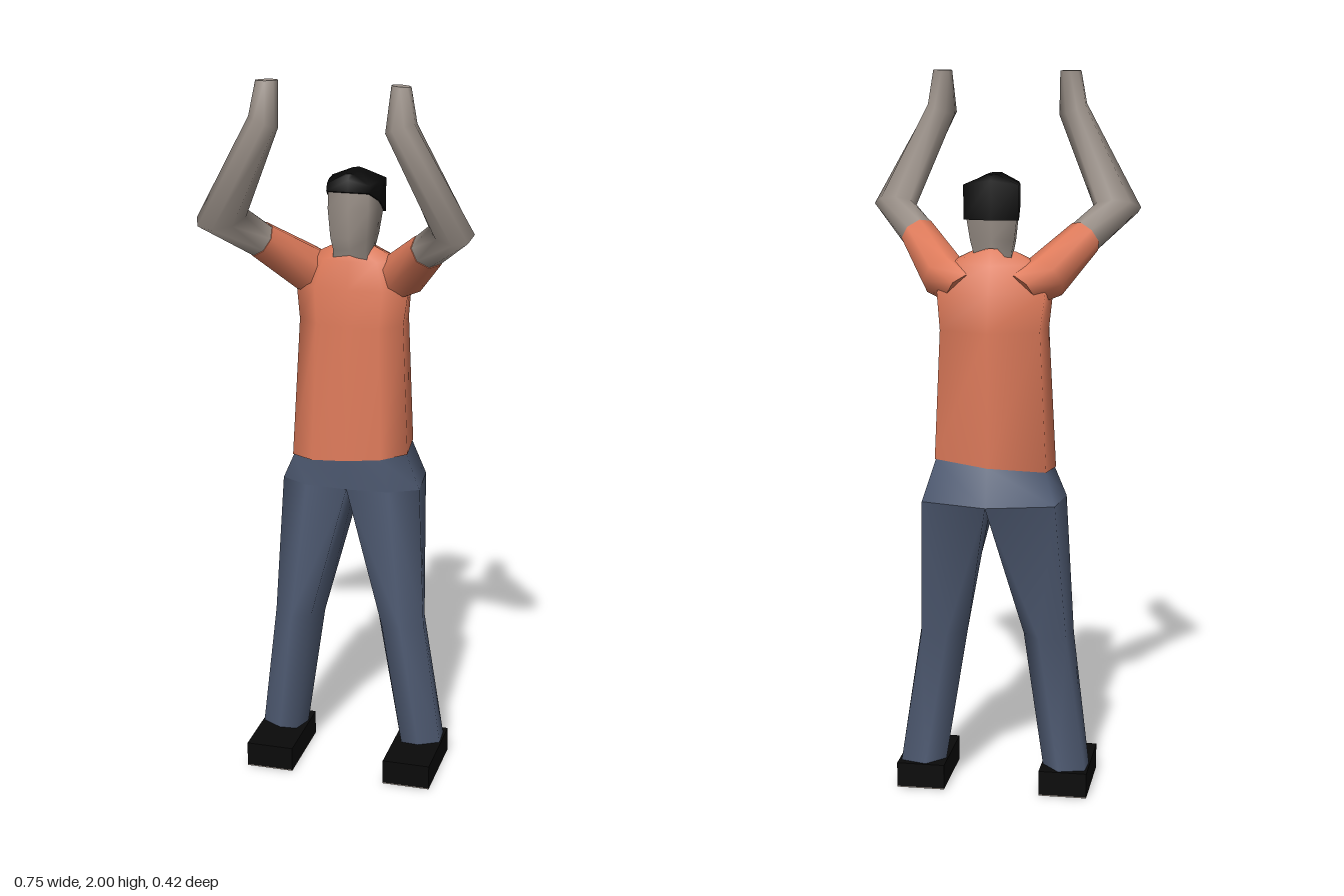
import * as THREE from 'three';

const paint = (name, color) => {
  const m = new THREE.MeshStandardMaterial({ color });
  m.name = name;
  return m;
};

// Capped skin through rings of [x, y, z] points; winding is fixed from the signed volume
function loft(rings) {
  const n = rings[0].length, pos = [], idx = [];
  rings.forEach(r => r.forEach(p => pos.push(...p)));
  for (let k = 0; k < rings.length - 1; k++) {
    for (let i = 0; i < n; i++) {
      const a = k * n + i, b = k * n + (i + 1) % n;
      idx.push(a, b, b + n, a, b + n, a + n);
    }
  }
  [[rings[0], true], [rings[rings.length - 1], false]].forEach(([r, flip]) => {
    const s = pos.length / 3;
    r.forEach(p => pos.push(...p));
    pos.push(...[0, 1, 2].map(c => r.reduce((t, p) => t + p[c], 0) / n));
    for (let i = 0; i < n; i++) {
      const j = (i + 1) % n;
      idx.push(s + n, s + (flip ? j : i), s + (flip ? i : j));
    }
  });
  const v = i => new THREE.Vector3(pos[3 * i], pos[3 * i + 1], pos[3 * i + 2]);
  let volume = 0;
  for (let i = 0; i < idx.length; i += 3) volume += v(idx[i]).dot(v(idx[i + 1]).cross(v(idx[i + 2])));
  if (volume < 0) idx.reverse();
  const g = new THREE.BufferGeometry();
  g.setAttribute('position', new THREE.Float32BufferAttribute(pos, 3));
  g.setIndex(idx);
  g.computeVertexNormals();
  return g;
}

// Mirror half an outline (front centre to back centre) across x = 0
const whole = half => [...half, ...half.slice(1, -1).reverse().map(([x, y, z]) => [-x, y, z])];

// Body outline at one height; tx and tz tilt it sideways and fore-aft
const bodyRing = (y, hx, zf, zb, tx = 0, tz = 0) =>
  whole([[0, y, zf], [hx * 0.6, y, zf - 0.008], [hx, y, zf - 0.05], [hx * 0.93, y, zb + 0.05], [0, y, zb]])
    .map(([x, h, z]) => [x, h + tx * x - tz * (z + 0.06), z]);

// Head outline, narrower at the face than at the back
const headRing = (y, wf, wb, zf, zb) =>
  whole([[0, y, zf], [wf, y, zf], [(wf + wb) / 2 + 0.004, y, (zf + zb) / 2], [wb, y, zb + 0.012], [0, y, zb]]);

// Limb outline: centre plus two half-axes
const limbRing = (c, a, b) => Array.from({ length: 8 }, (_, i) => {
  const t = i * Math.PI / 4;
  return c.map((v, k) => v + a[k] * Math.cos(t) + b[k] * Math.sin(t));
});
const upperArmRing = (c, r) => limbRing(c, [0.707 * r, -0.707 * r, 0], [-0.44 * r, -0.44 * r, 0.79 * r]);

export function createModel() {
  const group = new THREE.Group();
  const shirt = paint('orange shirt', 0xdd7a5a);
  const denim = paint('blue grey trousers', 0x505c74);
  const skin = paint('skin', 0x9a9088);
  const black = paint('black', 0x0a0a0a);
  const add = (name, geometry, material) => {
    const mesh = new THREE.Mesh(geometry, material);
    mesh.name = name;
    group.add(mesh);
    return mesh;
  };

  // Shirt body, with a slightly slanted hem
  add('shirtBody', loft([
    bodyRing(0.945, 0.165, 0.045, -0.17, 0.09, 0.06),
    bodyRing(1.32, 0.146, 0.03, -0.178),
    bodyRing(1.42, 0.158, 0.02, -0.162),
    bodyRing(1.495, 0.125, 0.002, -0.13),
    bodyRing(1.528, 0.06, -0.005, -0.108, 0, 0.25),
  ]), shirt);

  // Neck and head
  add('head', loft([
    headRing(1.48, 0.05, 0.05, -0.012, -0.09),
    headRing(1.525, 0.045, 0.052, 0.0, -0.095),
    headRing(1.56, 0.05, 0.06, 0.01, -0.1),
    headRing(1.64, 0.056, 0.071, 0.014, -0.111),
    headRing(1.705, 0.055, 0.071, 0.01, -0.11),
  ]), skin);

  // Hair cap: low at the nape, high at the forehead, ridged along the crown
  const rim = headRing(0, 0.059, 0.075, 0.017, -0.115);
  const rimHeight = z => z > 0 ? 1.688 : z > -0.08 ? 1.655 : 1.615;
  add('hair', loft([
    rim.map(([x, , z]) => [x, rimHeight(z), z]),
    headRing(1.708, 0.058, 0.075, 0.013, -0.115).map(([x, y, z]) => [x, x ? y : y + 0.012, z]),
    headRing(1.734, 0.012, 0.014, 0.0, -0.1),
  ]), black);

  // Hips
  add('hips', loft([
    bodyRing(0.945, 0.162, 0.042, -0.167, 0.09, 0.06),
    bodyRing(0.85, 0.197, 0.032, -0.208),
  ]), denim);

  for (const [side, s] of [['left', 1], ['right', -1]]) {
    const sided = rings => loft(rings.map(r => r.map(([x, y, z]) => [s * x, y, z])));
    const level = (y, pts) => pts.map(([x, z]) => [x, y, z]);

    // Sleeve and bare arm, raised and bent at the elbow
    const cuff = [0.232, 1.557, 0.062];
    add(side + 'Sleeve', sided([
      upperArmRing([0.075, 1.425, -0.09], 0.055),
      upperArmRing([0.138, 1.458, -0.052], 0.066),
      upperArmRing(cuff, 0.051),
    ]), shirt);
    add(side + 'Arm', sided([
      upperArmRing(cuff, 0.049),
      limbRing([0.312, 1.63, 0.14], [0.063, 0, 0.015], [0.01, -0.025, 0.05]),
      limbRing([0.183, 1.895, 0.17], [0.037, 0.015, 0.01], [-0.015, 0, 0.04]),
      limbRing([0.178, 2.0, 0.152], [0.028, 0, 0.008], [0, 0, 0.018]),
    ]), skin);

    // Trouser leg from crotch through knee to ankle
    add(side + 'Leg', sided([
      level(0.85, [[0, 0.032], [0.118, 0.024], [0.197, -0.018], [0.183, -0.158], [0, -0.208], [0, -0.09]]),
      level(0.45, [[0.105, 0.036], [0.16, 0.046], [0.218, 0], [0.205, -0.07], [0.13, -0.086], [0.08, -0.03]]),
      level(0.065, [[0.16, 0.008], [0.21, 0.012], [0.267, -0.02], [0.263, -0.085], [0.19, -0.106], [0.14, -0.05]]),
    ]), denim);

    // Shoe block with a pale sole
    add(side + 'Shoe', new THREE.BoxGeometry(0.135, 0.069, 0.243), black).position.set(s * 0.2025, 0.0375, 0.0105);
    add(side + 'Sole', new THREE.BoxGeometry(0.135, 0.003, 0.243), skin).position.set(s * 0.2025, 0.0015, 0.0105);
  }
  return group;
}
